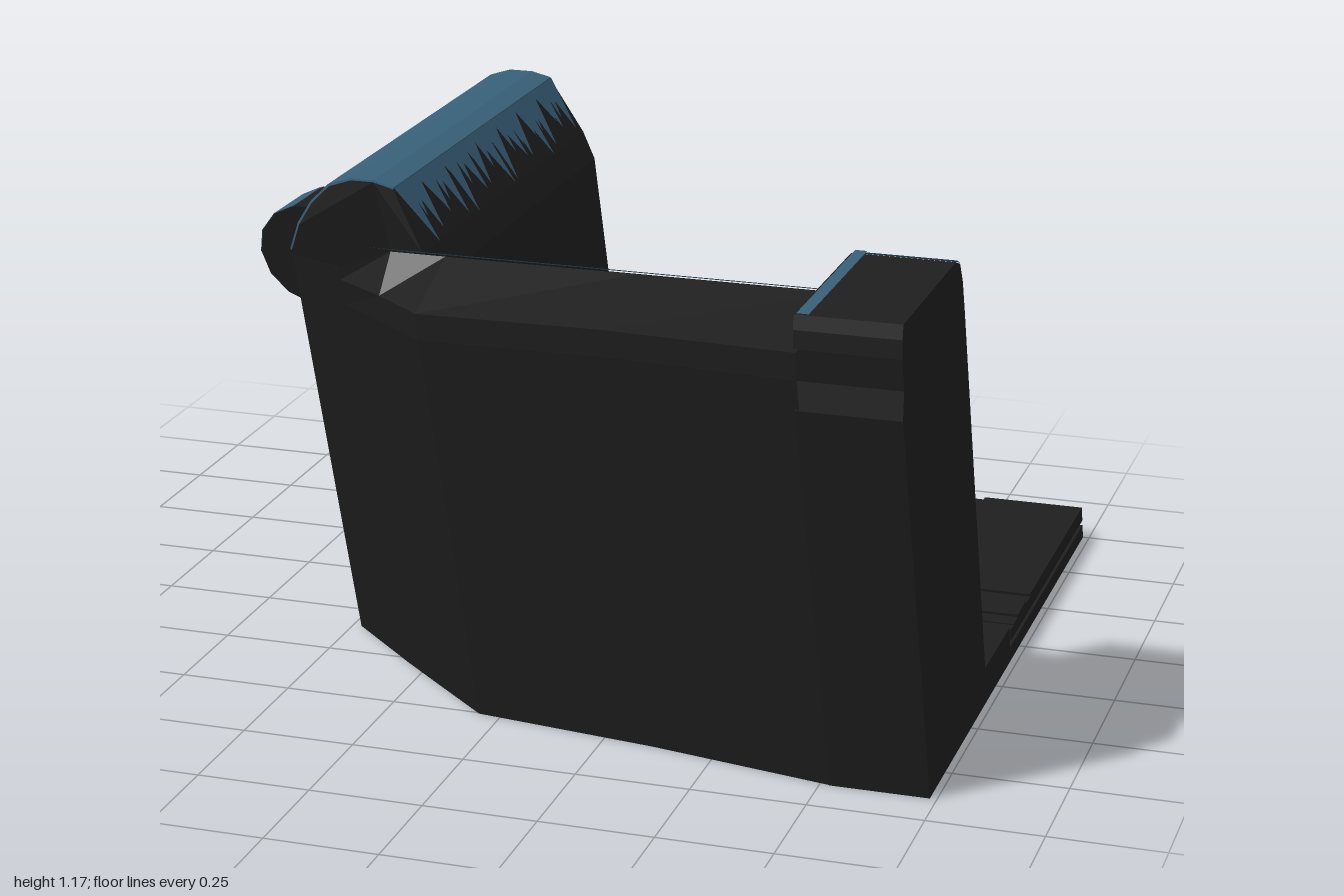
import * as THREE from 'three';

const SHEAR = 0.367; // the whole body leans forward: z grows with y

export function createModel() {
  const root = new THREE.Group();
  root.name = 'leaningEnclosure';
  const dark = new THREE.MeshStandardMaterial({ color: 0x1f1f1f, side: THREE.DoubleSide });
  dark.name = 'charcoal';
  const blue = new THREE.MeshStandardMaterial({ color: 0x386079, side: THREE.DoubleSide });
  blue.name = 'steelBlue';
  const lean = new THREE.Matrix4().set(1, 0, 0, 0, 0, 1, 0, 0, 0, SHEAR, 1, 0, 0, 0, 0, 1);

  function add(name, geo, mat) {
    const g = geo.index ? geo.toNonIndexed() : geo;
    g.applyMatrix4(lean);
    g.computeVertexNormals();
    const mesh = new THREE.Mesh(g, mat);
    mesh.name = name;
    root.add(mesh);
  }
  // box given by its limits
  function box(name, x0, x1, y0, y1, z0, z1) {
    const g = new THREE.BoxGeometry(x1 - x0, y1 - y0, z1 - z0);
    add(name, g.translate((x0 + x1) / 2, (y0 + y1) / 2, (z0 + z1) / 2), dark);
  }
  const shapeOf = (pts) => new THREE.Shape(pts.map((p) => new THREE.Vector2(p[0], p[1])));
  const extrude = (pts, depth) =>
    new THREE.ExtrudeGeometry(shapeOf(pts), { depth, bevelEnabled: false });
  // loose triangles from corner points
  function faces(name, corners, mat) {
    const g = new THREE.BufferGeometry();
    g.setAttribute('position', new THREE.Float32BufferAttribute(corners.flat(), 3));
    add(name, g, mat);
  }
  // extrusion along the side wall whose front end is cut upright
  function alongWall(pts) {
    const g = extrude(pts, 1.1).translate(0, 0, -1);
    const p = g.attributes.position;
    for (let i = 0; i < p.count; i++) {
      if (p.getZ(i) > 0) p.setZ(i, Math.min(0.1, 0.472 - SHEAR * p.getY(i)));
    }
    return g;
  }

  // side wall with a rounded crest
  const crest = [[-0.245, 1.155], [-0.29, 1.167], [-0.34, 1.167], [-0.39, 1.15],
    [-0.43, 1.11], [-0.46, 1.06], [-0.48, 1.0]];
  const wall = [[-0.16, 0], [-0.16, 0.95], [-0.18, 1.02], ...crest, [-0.48, 0]];
  add('sideWall', alongWall(wall), dark);

  // coloured skin over the crest
  const skin = [...crest].reverse().map(([x, y]) => [x - (x < -0.32 ? 0.003 : -0.001), y + 0.004]);
  add('crestSkin', alongWall([...skin, ...crest]), blue);

  // uneven teeth hanging from the crest on the inside, long and short by turns
  const teeth = [];
  const count = 15;
  const step = 1.045 / count;
  for (let i = 0; i < count * 2; i++) {
    const z = -0.997 + (i * step) / 2;
    const drop = i % 2 ? 0.6 : 0.87 + 0.13 * Math.sin(i * 2.3);
    const width = Math.min(step * (i % 2 ? 0.7 : 1), 0.048 - z);
    teeth.push([-0.242, 1.158, z], [-0.242, 1.158, z + width],
      [-0.24 + 0.066 * drop, 1.158 - 0.137 * drop, z + width * (0.5 + 0.35 * Math.sin(i * 1.7))]);
  }
  faces('crestTeeth', teeth, blue);

  // front wall with chamfered corner: x, outer z, rim height, crown height
  const stations = [[-0.48, 0.1, 0.99, 0.99], [-0.3, 0.275, 1.0, 1.03], [-0.17, 0.395, 1.01, 1.085],
    [-0.05, 0.505, 1.015, 1.085], [0.36, 0.56, 1.04, 1.085], [0.78, 0.64, 1.06, 1.085]];
  const rings = stations.map(([x, out, rim, top]) => {
    const [a, b, c] = [0.13, 0.195, 0.29].map((z) => Math.min(z, out));
    return [[x, 0, a], [x, top - 0.16, a], [x, top - 0.035, b], [x, top, c],
      [x, rim, Math.max(c, out - 0.008)], [x, rim - 0.06, out], [x, 0, out]];
  });
  const shell = [];
  for (let i = 0; i < rings.length - 1; i++) {
    const n = rings[i].length;
    for (let j = 0; j < n; j++) {
      const k = (j + 1) % n;
      shell.push(rings[i][j], rings[i][k], rings[i + 1][j],
        rings[i][k], rings[i + 1][k], rings[i + 1][j]);
    }
  }
  faces('frontWall', shell, dark);

  // coloured stripe on the crown, tilted toward the inside
  const s = [[-0.17, 1.055, 0.192], [0.765, 1.055, 0.192], [-0.17, 1.091, 0.29], [0.765, 1.091, 0.29]];
  faces('frontWallStripe', [s[0], s[2], s[1], s[1], s[2], s[3],
    s[0], [-0.25, 1.07, 0.23], [-0.17, 1.075, 0.245]], blue);

  // dark ridged teeth under the stripe on the inner face
  const spikes = [];
  for (let x = -0.15; x < 0.72; x += 0.058) {
    const l = [x, 1.052, 0.192];
    const r = [x + 0.058, 1.052, 0.192];
    const m = [x + 0.04, 1.03, 0.168];
    const tip = [x + 0.029, 0.94, 0.132];
    spikes.push(l, r, m, l, m, tip, m, r, tip);
  }
  faces('frontWallTeeth', spikes, dark);

  // thick end rib: profile in (depth, height)
  const rib = [[0.64, 0], [0.64, 0.93], [0.615, 0.99], [0.611, 1.06], [0.6, 1.1], [0.585, 1.13],
    [0.14, 1.13], [0.104, 1.115], [0.09, 1.07], [0.088, 1.0], [0.09, 0]];
  add('endRib', extrude(rib.map(([z, y]) => [-z, y]), 0.215)
    .rotateY(Math.PI / 2).translate(0.77, 0, 0), dark);

  // coloured trim along two top edges of the rib
  const t = [[0.775, 1.133, 0.125], [0.8, 1.133, 0.125], [0.775, 1.133, 0.585], [0.8, 1.133, 0.585]];
  faces('ribSideTrim', [t[0], t[2], t[1], t[1], t[2], t[3]], blue);
  const q = [[0.772, 1.118, 0.103], [0.985, 1.118, 0.103], [0.772, 1.131, 0.13], [0.985, 1.131, 0.13]];
  faces('ribBackTrim', [q[0], q[2], q[1], q[1], q[2], q[3]], blue);

  // floor, with a two-layer panel toward the back
  box('floorSide', -0.148, 0.13, 0, 0.082, -1, -0.13);
  box('floorFront', -0.148, 0.985, 0, 0.09, -0.16, 0.135);
  box('panelBase', 0.13, 0.985, 0, 0.036, -1, -0.16);
  box('panelCore', 0.13, 0.95, 0.036, 0.05, -0.965, -0.16);
  box('panelTop', 0.14, 0.985, 0.05, 0.078, -1, -0.175);
  box('panelInset', 0.175, 0.985, 0.078, 0.081, -1, -0.205);
  box('panelPlate', 0.745, 0.985, 0.08, 0.088, -1, -0.385);
  box('panelLatch', 0.79, 0.985, 0.08, 0.088, -0.34, -0.25);

  // two mirrored serrated blades in low relief
  for (const side of [-1, 1]) {
    const blade = [[0.17, 0.13], [0.6, 0.13], [0.6, 0.16], [0.68, 0.11], [0.6, 0.055]];
    for (let i = 0; i <= 8; i++) blade.push([0.6 - i * 0.042, i % 2 ? 0.07 : 0.04]);
    blade.push([0.17, 0.05]);
    const g = extrude(blade.map(([x, z]) => [x, side * z]), 0.005);
    add('panelBlade', g.rotateX(-Math.PI / 2).translate(0, 0.081, -0.68), dark);
  }

  // free-standing drum beside the wall, with a coloured patch
  const seg = (Math.PI * 2) / 14;
  const drum = new THREE.CylinderGeometry(0.14, 0.14, 0.19, 14, 1, false, Math.PI / 2);
  add('drum', drum.rotateX(Math.PI / 2).translate(-0.845, 0.67, -0.905), dark);
  const patch = new THREE.CylinderGeometry(0.142, 0.142, 0.188, 3, 1, true, Math.PI / 2 + 4 * seg, 3 * seg);
  add('drumPatch', patch.rotateX(Math.PI / 2).translate(-0.845, 0.67, -0.905), blue);

  return root;
}
